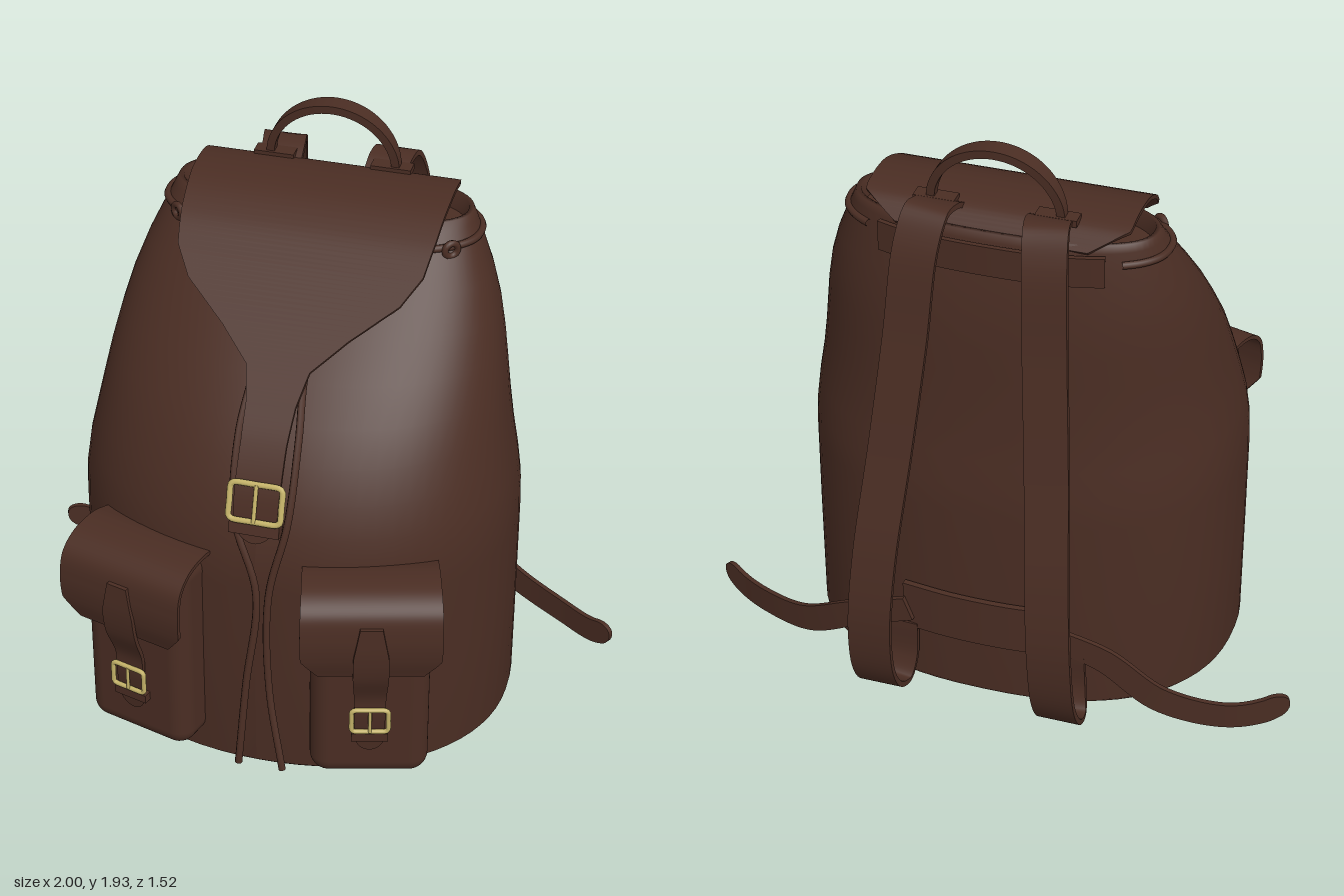
import * as THREE from 'three';
import { RoundedBoxGeometry } from 'three/addons/geometries/RoundedBoxGeometry.js';

const leather = new THREE.MeshStandardMaterial({ color: 0x4a2d23 });
leather.name = 'brown leather';
const brass = new THREE.MeshStandardMaterial({ color: 0xc4b268 });
brass.name = 'brass';

const V = (x, y, z) => new THREE.Vector3(x, y, z);
const X = V(1, 0, 0), Y = V(0, 1, 0), Z = V(0, 0, 1);
const CX = -0.01; // centre line of the bag

function mesh(name, geometry, material = leather) {
  const m = new THREE.Mesh(geometry, material);
  m.name = name;
  return m;
}

function geometryFrom(positions, indices) {
  const g = new THREE.BufferGeometry();
  g.setAttribute('position', new THREE.Float32BufferAttribute(positions, 3));
  g.setIndex(indices);
  g.computeVertexNormals();
  return g;
}

// Flat band swept along points; widths are half widths per point, tip is the rounded share of the end
function band(name, points, widths, thickness, across, tip = 0, segments = 56) {
  const curve = new THREE.CatmullRomCurve3(points.map((p) => V(...p)));
  const rows = [];
  for (let i = 0; i <= segments; i++) {
    // samples gather towards a rounded tip
    const s = i / segments;
    const u = tip ? 1 - Math.pow(1 - s, 1.5) : s;
    const f = u * (widths.length - 1);
    const k = Math.min(Math.floor(f), widths.length - 2);
    let w = THREE.MathUtils.lerp(widths[k], widths[k + 1], f - k);
    if (tip && u > 1 - tip) w *= Math.sqrt(Math.max(0.01, 1 - ((u - 1 + tip) / tip) ** 2));
    const p = curve.getPoint(u), t = curve.getTangent(u);
    const a = across.clone().addScaledVector(t, -across.dot(t)).normalize();
    const n = t.clone().cross(a).multiplyScalar(thickness / 2);
    a.multiplyScalar(w);
    rows.push([[1, 1], [-1, 1], [-1, -1], [1, -1]].map(([sa, sn]) =>
      p.clone().addScaledVector(a, sa).addScaledVector(n, sn)));
  }
  const pos = [], idx = [];
  for (let j = 0; j < 4; j++) {
    const base = pos.length / 3;
    rows.forEach((r) => pos.push(...r[j].toArray(), ...r[(j + 1) % 4].toArray()));
    for (let i = 0; i < segments; i++) {
      const b = base + i * 2;
      idx.push(b, b + 1, b + 3, b, b + 3, b + 2);
    }
  }
  [rows[0].slice().reverse(), rows[segments]].forEach((r) => {
    const b = pos.length / 3;
    r.forEach((c) => pos.push(...c.toArray()));
    idx.push(b, b + 1, b + 2, b, b + 2, b + 3);
  });
  return mesh(name, geometryFrom(pos, idx));
}

function cord(name, points, radius = 0.012) {
  const curve = new THREE.CatmullRomCurve3(points.map((p) => V(...p)));
  return mesh(name, new THREE.TubeGeometry(curve, 48, radius, 8));
}

// Point on the oval cross-section: half width, front z, back z
function sectionPoint(angle, y, w, front, back) {
  const s = Math.sin(angle), c = Math.cos(angle);
  const e = 2 / (c > 0 ? 2.1 : 2.4);
  const mid = (front + back) / 2, d = (front - back) / 2;
  return [CX + w * Math.sign(s) * Math.abs(s) ** e, y, mid + d * Math.sign(c) * Math.abs(c) ** e];
}

function bodyGeometry() {
  const rings = [
    [0, 0.69, 0.57, -0.52], [0.015, 0.705, 0.585, -0.53], [0.4, 0.706, 0.585, -0.53],
    [0.7, 0.706, 0.582, -0.525], [0.8, 0.703, 0.575, -0.52], [0.9, 0.69, 0.55, -0.505],
    [1.0, 0.67, 0.51, -0.495], [1.1, 0.652, 0.455, -0.488], [1.2, 0.635, 0.385, -0.482],
    [1.3, 0.615, 0.295, -0.478], [1.4, 0.59, 0.2, -0.47], [1.5, 0.555, 0.1, -0.455],
    [1.6, 0.51, 0, -0.435], [1.65, 0.487, -0.05, -0.422], [1.675, 0.475, -0.07, -0.415],
    [1.675, 0.46, -0.085, -0.4], [1.62, 0.45, -0.09, -0.39]];
  const N = 72, pos = [], idx = [];
  rings.forEach((r) => {
    for (let j = 0; j <= N; j++) pos.push(...sectionPoint((j / N) * Math.PI * 2, ...r));
  });
  for (let i = 0; i < rings.length - 1; i++) {
    for (let j = 0; j < N; j++) {
      const a = i * (N + 1) + j, b = a + N + 1;
      idx.push(a, a + 1, b + 1, a, b + 1, b);
    }
  }
  // base and sunken top
  [[rings[0], true], [rings[rings.length - 1], false]].forEach(([r, down]) => {
    const c = pos.length / 3;
    pos.push(CX, r[0], (r[2] + r[3]) / 2);
    for (let j = 0; j <= N; j++) pos.push(...sectionPoint((j / N) * Math.PI * 2, ...r));
    for (let j = 1; j <= N; j++) idx.push(c, down ? c + j + 1 : c + j, down ? c + j : c + j + 1);
  });
  return geometryFrom(pos, idx);
}

// Wire frame buckle with prong
function buckle(w, h, r) {
  const g = new THREE.Group();
  g.name = 'buckle';
  const a = w / 2, b = h / 2, k = 0.8;
  const pts = [[-a * k, b], [0, b], [a * k, b], [a, b * k], [a, 0], [a, -b * k], [a * k, -b], [0, -b],
    [-a * k, -b], [-a, -b * k], [-a, 0], [-a, b * k]].map(([x, y]) => V(x, y, 0));
  const frame = new THREE.CatmullRomCurve3(pts, true, 'catmullrom', 0.3);
  g.add(mesh('buckleFrame', new THREE.TubeGeometry(frame, 60, r, 8, true), brass));
  const prong = mesh('bucklePin', new THREE.CylinderGeometry(r * 0.7, r * 0.7, h, 8), brass);
  prong.position.z = r * 0.6;
  g.add(prong);
  return g;
}

function pocket(side) {
  const g = new THREE.Group();
  g.name = side < 0 ? 'rightPocket' : 'leftPocket';
  const pouch = mesh('pocketPouch', new RoundedBoxGeometry(0.375, 0.72, 0.28, 5, 0.06));
  pouch.position.set(0, 0.435, 0);
  g.add(pouch);
  g.add(band('pocketFlap', [[0, 0.785, -0.06], [0, 0.812, 0.03], [0, 0.803, 0.13], [0, 0.76, 0.185],
    [0, 0.68, 0.202], [0, 0.6, 0.198], [0, 0.53, 0.18]],
  [0.21, 0.212, 0.215, 0.218, 0.22, 0.218, 0.165], 0.014, X));
  g.add(band('pocketStrap', [[0, 0.73, 0.21], [0, 0.62, 0.213], [0, 0.53, 0.2], [0, 0.42, 0.16],
    [0, 0.33, 0.158], [0, 0.2, 0.145]], [0.035, 0.055, 0.056, 0.05, 0.048, 0.048], 0.014, X, 0.1));
  const keeper = mesh('strapKeeper', new THREE.BoxGeometry(0.115, 0.03, 0.035));
  keeper.position.set(0, 0.262, 0.15);
  const b = buckle(0.115, 0.085, 0.008);
  b.position.set(0, 0.335, 0.172);
  g.add(keeper, b);
  g.position.set(CX + side * 0.35, 0, 0.5);
  g.rotation.y = side * 0.27;
  return g;
}

export function createModel() {
  const bag = new THREE.Group();
  bag.name = 'backpack';
  bag.add(mesh('body', bodyGeometry()));

  // Top flap narrowing into the closing strap
  bag.add(band('topFlap', [[1.655, -0.405], [1.712, -0.34], [1.72, -0.18], [1.66, -0.035], [1.59, 0.055],
    [1.52, 0.13], [1.43, 0.22], [1.35, 0.3], [1.27, 0.38], [1.18, 0.46], [1.05, 0.535], [0.89, 0.582]]
    .map(([y, z]) => [CX, y, z]),
  [0.3, 0.415, 0.415, 0.405, 0.39, 0.335, 0.2, 0.1, 0.078, 0.072, 0.072, 0.068], 0.014, X, 0.05, 100));
  const mainBuckle = buckle(0.165, 0.12, 0.01);
  mainBuckle.position.set(CX, 1.025, 0.56);
  mainBuckle.rotation.x = -0.33;
  const keeper = mesh('strapKeeper', new THREE.BoxGeometry(0.16, 0.04, 0.04));
  keeper.position.set(CX, 0.935, 0.563);
  keeper.rotation.x = -0.3;
  bag.add(mainBuckle, keeper);

  // Drawcords hanging down the front
  bag.add(cord('rightDrawcord', [[-0.12, 1.6, 0.02], [-0.09, 1.35, 0.27], [-0.1, 1.18, 0.43], [-0.08, 0.96, 0.555],
    [0.005, 0.72, 0.615], [-0.015, 0.4, 0.67], [-0.03, 0.11, 0.715]]));
  bag.add(cord('leftDrawcord', [[0.1, 1.6, 0.02], [0.07, 1.35, 0.27], [0.09, 1.18, 0.43], [0.09, 0.96, 0.555],
    [0.045, 0.72, 0.615], [0.06, 0.4, 0.67], [0.12, 0.13, 0.735]]));

  // Top handle
  const arch = [], archW = [];
  for (let i = 0; i <= 12; i++) {
    const a = (i / 12) * Math.PI;
    arch.push([CX - 0.205 * Math.cos(a), 1.72 + 0.198 * Math.sin(a), -0.345]);
    archW.push(0.014 + 0.018 * Math.sin(a));
  }
  bag.add(band('handle', arch, archW, 0.026, Z));

  // Band across the upper back
  const backBand = [];
  for (let i = -4; i <= 4; i++) backBand.push(sectionPoint(Math.PI - i * 0.17, 1.6, 0.52, 0.01, -0.445));
  bag.add(band('upperBackBand', backBand, [0.05, 0.05], 0.016, Y));
  // Patch on the lower back
  bag.add(band('lowerBackPatch', [[-0.27, 0.305, -0.53], [-0.1, 0.305, -0.548], [0.08, 0.305, -0.548],
    [0.25, 0.305, -0.53]], [0.085, 0.085], 0.02, Y));

  for (const s of [-1, 1]) {
    bag.add(pocket(s));
    const foot = mesh('handleFoot', new THREE.BoxGeometry(0.13, 0.022, 0.05));
    foot.position.set(CX + s * 0.19, 1.727, -0.345);
    bag.add(foot);

    // Shoulder strap from the top, looping out and under to the lower back
    bag.add(band('shoulderStrap', [[0.17, 1.7, -0.32], [0.175, 1.735, -0.39], [0.185, 1.735, -0.445], [0.2, 1.64, -0.505],
      [0.22, 1.35, -0.56], [0.25, 0.99, -0.635], [0.28, 0.63, -0.725], [0.295, 0.37, -0.752],
      [0.3, 0.17, -0.72], [0.3, 0.06, -0.645], [0.295, 0.035, -0.575], [0.285, 0.1, -0.54], [0.28, 0.24, -0.54]]
      .map(([x, y, z]) => [CX + s * x, y, z]), [0.068, 0.07, 0.07, 0.068], 0.018, X, 0, 100));

    // Cord around the gathered mouth, with an eyelet knot
    const arc = [];
    for (let i = 0; i <= 10; i++) {
      arc.push(sectionPoint(s * (0.75 + i * 0.155), 1.615, 0.506, -0.01, -0.435));
    }
    bag.add(cord('mouthCord', arc));
    const knot = mesh('cordKnot', new THREE.TorusGeometry(0.022, 0.011, 8, 20));
    knot.position.set(CX + s * 0.44, 1.61, -0.1);
    knot.rotation.y = s * 0.7;
    bag.add(knot);
  }

  // Loose strap tails curling out on both sides
  const tailW = [0.042, 0.045, 0.047, 0.045, 0.045, 0.04];
  bag.add(band('rightStrapTail', [[-0.25, 0.3, -0.55], [-0.42, 0.24, -0.535], [-0.6, 0.11, -0.515],
    [-0.8, 0.058, -0.47], [-0.92, 0.075, -0.43], [-0.995, 0.12, -0.4]], tailW, 0.016, Y, 0.12));
  bag.add(band('leftStrapTail', [[0.23, 0.3, -0.55], [0.42, 0.22, -0.53], [0.62, 0.1, -0.465],
    [0.8, 0.06, -0.38], [0.92, 0.055, -0.31], [0.99, 0.085, -0.27]], tailW, 0.016, Y, 0.12));
  return bag;
}
